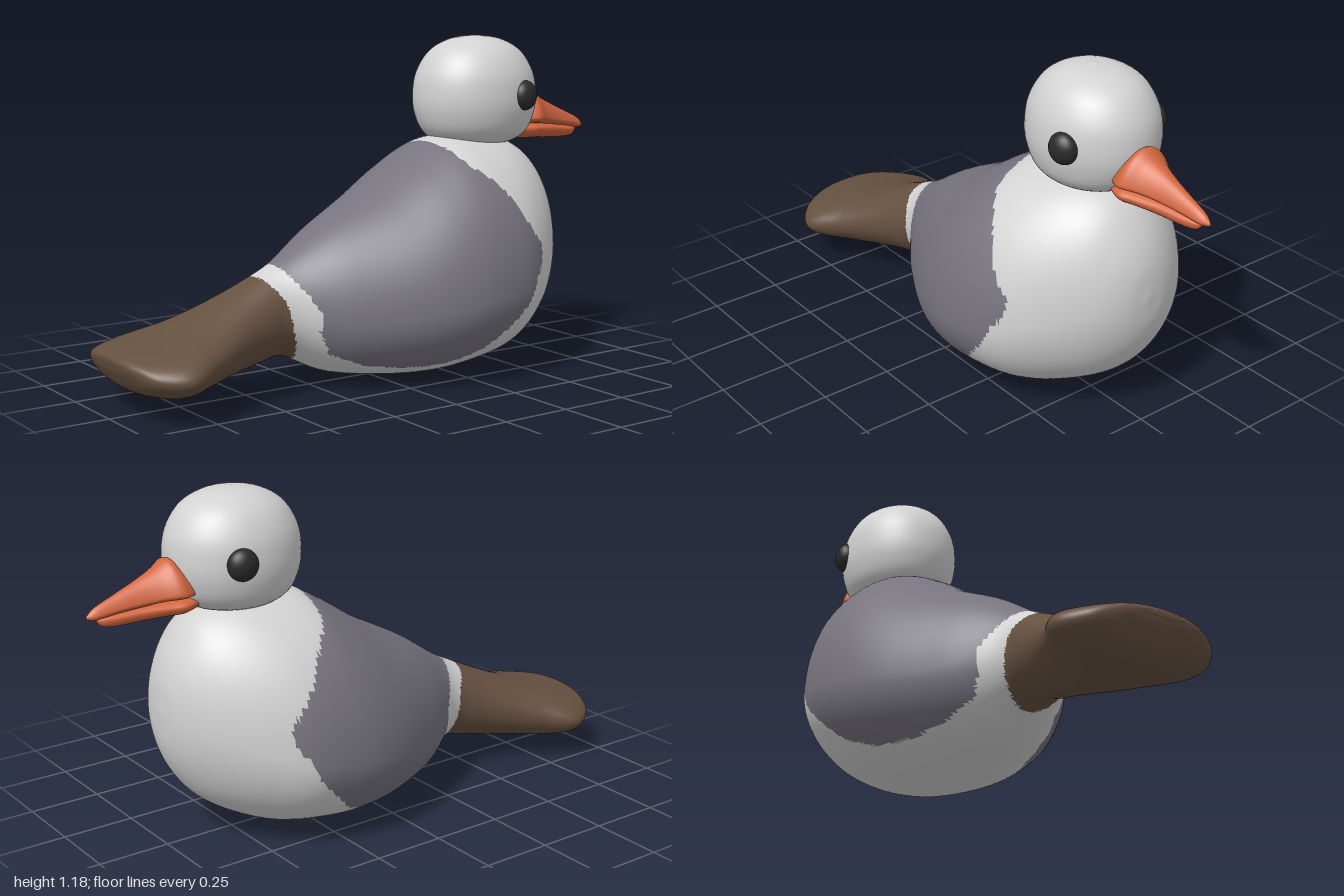
import * as THREE from 'three';

const mat = (name, color) => Object.assign(new THREE.MeshStandardMaterial({ color }), { name });

// Piecewise-linear lookup in a list of [key, value] pairs
function lookup(table, k) {
  if (k <= table[0][0]) return table[0][1];
  for (let i = 1; i < table.length; i++) {
    const [k0, v0] = table[i - 1], [k1, v1] = table[i];
    if (k <= k1) return v0 + (v1 - v0) * (k - k0) / (k1 - k0);
  }
  return table[table.length - 1][1];
}

// Loft along x through stations [x, top, bottom, halfWidth, heightOfWidestPoint 0..1].
// peak > 1 pinches the top of each section into a ridge; pick(x, y) gives a material index.
function loft(stations, steps, sides, peak = 1, pick = () => 0) {
  const heights = new THREE.CatmullRomCurve3(
    stations.map(s => new THREE.Vector3(s[0], s[1], s[2])), false, 'catmullrom');
  const widths = new THREE.CatmullRomCurve3(
    stations.map(s => new THREE.Vector3(s[0], s[3], s[4])), false, 'catmullrom');
  const pos = [], faces = [];
  for (let i = 0; i <= steps; i++) {
    const h = heights.getPoint(i / steps), w = widths.getPoint(i / steps);
    const mid = h.z + (h.y - h.z) * w.z;
    for (let j = 0; j < sides; j++) {
      const a = j / sides * Math.PI * 2, s = Math.sin(a);
      const y = s > 0 ? mid + (h.y - mid) * Math.pow(s, peak) : mid + (mid - h.z) * s;
      pos.push(h.x, y, Math.max(w.y, 0) * Math.cos(a));
    }
  }
  const first = pos.length / 3, last = first + 1;
  for (const s of [stations[0], stations[stations.length - 1]]) {
    pos.push(s[0], s[2] + (s[1] - s[2]) * s[4], 0);
  }
  const end = steps * sides;
  for (let j = 0; j < sides; j++) {
    const k = (j + 1) % sides;
    faces.push([first, j, k], [last, end + k, end + j]);
    for (let i = 0; i < steps; i++) {
      const p = i * sides, q = p + sides;
      faces.push([p + j, q + j, p + k], [q + j, q + k, p + k]);
    }
  }
  // Sort faces into material groups
  const buckets = [];
  for (const f of faces) {
    const x = (pos[f[0] * 3] + pos[f[1] * 3] + pos[f[2] * 3]) / 3;
    const y = (pos[f[0] * 3 + 1] + pos[f[1] * 3 + 1] + pos[f[2] * 3 + 1]) / 3;
    (buckets[pick(x, y)] ??= []).push(...f);
  }
  const geo = new THREE.BufferGeometry();
  geo.setAttribute('position', new THREE.Float32BufferAttribute(pos, 3));
  geo.setIndex(buckets.flat());
  let start = 0;
  buckets.forEach((b, m) => { geo.addGroup(start, b.length, m); start += b.length; });
  geo.computeVertexNormals();
  return geo;
}

// Plumage borders: x of the border at height y
const wingFront = [[0.07, 0.08], [0.08, 0.15], [0.12, 0.25], [0.2, 0.33], [0.27, 0.4], [0.35, 0.44],
  [0.4, 0.48], [0.46, 0.49], [0.55, 0.42], [0.64, 0.37], [0.7, 0.32], [0.74, 0.27], [0.8, 0.25]];
const wingBack = [[0.07, -0.02], [0.09, -0.15], [0.14, -0.27], [0.22, -0.31], [0.28, -0.3],
  [0.36, -0.35], [0.43, -0.39]];
const tailFront = [[0.1, -0.33], [0.15, -0.36], [0.23, -0.39], [0.33, -0.41], [0.4, -0.46]];

function plumage(x, y) {
  if (x < lookup(tailFront, y)) return 2;
  return y > 0.07 && x > lookup(wingBack, y) && x < lookup(wingFront, y) ? 1 : 0;
}

export function createModel() {
  const white = mat('white plumage', 0xd2d2d2);
  const grey = mat('grey wing', 0x77747f);
  const brown = mat('brown tail', 0x665140);
  const orange = mat('orange beak', 0xd2663f);
  const black = mat('black eye', 0x2a2a2a);

  const bird = new THREE.Group();
  bird.name = 'bird';
  const add = (name, geo, material) => {
    const m = new THREE.Mesh(geo, material);
    m.name = name;
    bird.add(m);
    return m;
  };

  // Body, wings and tail in one smooth skin
  add('body', loft([
    [-1, 0.2, 0.185, 0.07, 0.5],
    [-0.985, 0.215, 0.145, 0.15, 0.5],
    [-0.94, 0.225, 0.09, 0.235, 0.5],
    [-0.84, 0.245, 0.062, 0.287, 0.5],
    [-0.72, 0.285, 0.066, 0.225, 0.5],
    [-0.6, 0.335, 0.085, 0.172, 0.5],
    [-0.48, 0.39, 0.108, 0.138, 0.48],
    [-0.37, 0.445, 0.12, 0.14, 0.45],
    [-0.2, 0.555, 0.045, 0.25, 0.4],
    [0, 0.66, 0.012, 0.36, 0.39],
    [0.15, 0.755, 0.002, 0.41, 0.38],
    [0.28, 0.822, 0.01, 0.42, 0.37],
    [0.42, 0.83, 0.035, 0.4, 0.37],
    [0.54, 0.818, 0.085, 0.335, 0.39],
    [0.64, 0.77, 0.155, 0.25, 0.42],
    [0.71, 0.68, 0.25, 0.165, 0.45],
    [0.748, 0.585, 0.35, 0.085, 0.48],
    [0.76, 0.48, 0.46, 0.008, 0.5],
  ], 204, 112, 1, plumage), [white, grey, brown]);

  // Head: rounded dome with a flattened base, longer than wide
  const outline = new THREE.SplineCurve([
    [0, 0.79], [0.11, 0.797], [0.17, 0.835], [0.198, 0.9], [0.205, 0.97],
    [0.193, 1.05], [0.15, 1.125], [0.08, 1.168], [0, 1.18],
  ].map(p => new THREE.Vector2(...p)));
  const profile = outline.getPoints(40).map(p => p.setX(Math.max(p.x, 0)));
  const head = add('head', new THREE.LatheGeometry(profile, 64), white);
  head.scale.x = 1.14;
  head.position.x = 0.472;

  // Eyes
  for (const side of [-1, 1]) {
    const eye = add(side < 0 ? 'rightEye' : 'leftEye', new THREE.SphereGeometry(1, 28, 18), black);
    eye.scale.set(0.051, 0.053, 0.038);
    eye.position.set(0.55, 0.97, side * 0.188);
    eye.rotation.y = side * 0.25;
  }

  // Beak: ridged upper half over a rounded lower half
  add('upperBeak', loft([
    [0.63, 0.93, 0.86, 0.07, 0.2],
    [0.69, 0.966, 0.852, 0.1, 0.2],
    [0.72, 0.98, 0.85, 0.098, 0.2],
    [0.76, 0.955, 0.847, 0.074, 0.22],
    [0.82, 0.926, 0.84, 0.051, 0.25],
    [0.9, 0.892, 0.832, 0.033, 0.3],
    [0.97, 0.862, 0.822, 0.02, 0.4],
    [1, 0.838, 0.828, 0.004, 0.5],
  ], 56, 36, 1.5), orange);
  add('lowerBeak', loft([
    [0.63, 0.86, 0.81, 0.07, 0.6],
    [0.69, 0.86, 0.797, 0.09, 0.6],
    [0.74, 0.855, 0.796, 0.074, 0.6],
    [0.82, 0.848, 0.793, 0.048, 0.6],
    [0.9, 0.837, 0.791, 0.03, 0.6],
    [0.945, 0.83, 0.796, 0.017, 0.6],
    [0.965, 0.824, 0.812, 0.004, 0.5],
  ], 48, 32), orange);

  return bird;
}
